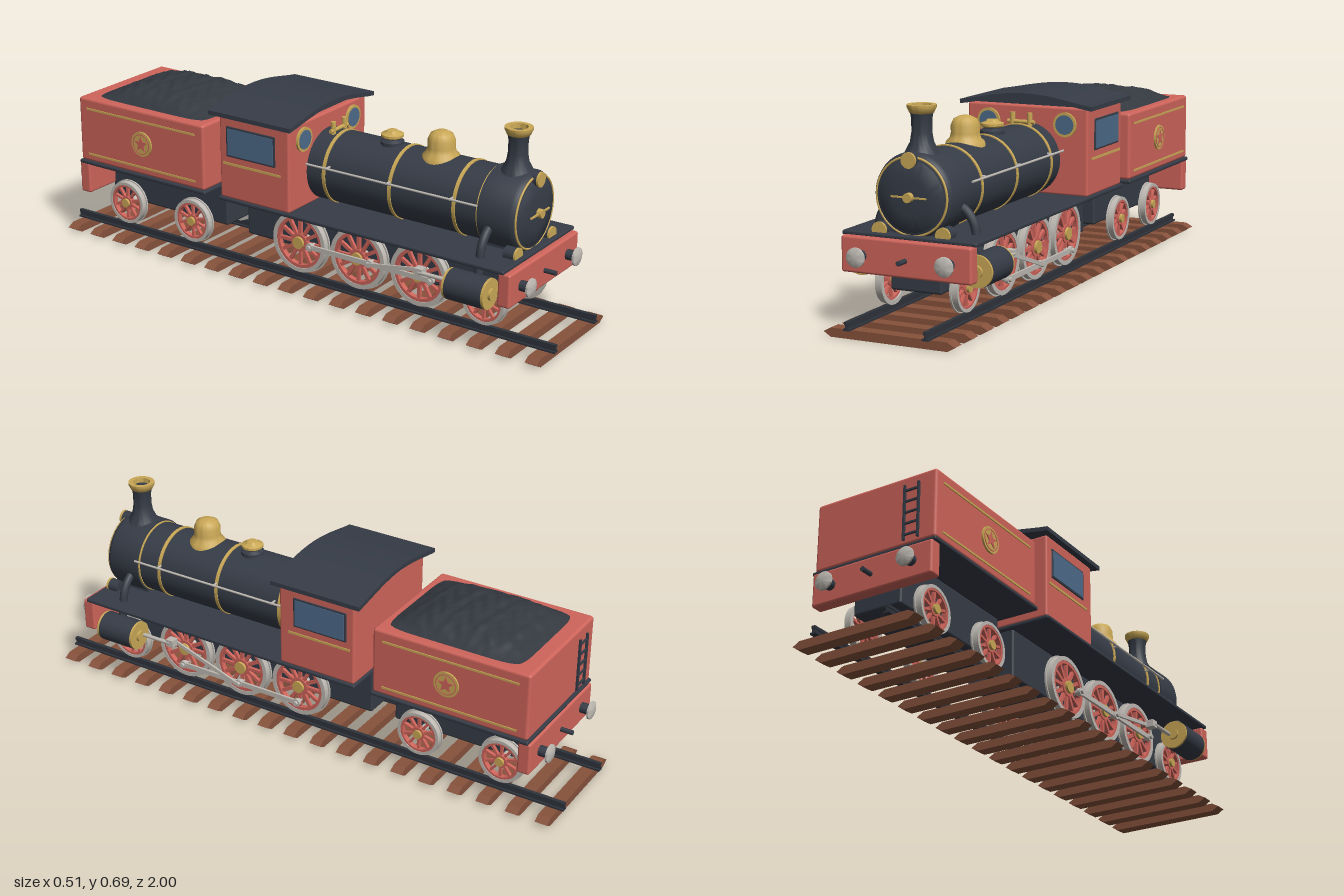
import * as THREE from 'three';
import { toCreasedNormals } from 'three/addons/utils/BufferGeometryUtils.js';
import { RoundedBoxGeometry } from 'three/addons/geometries/RoundedBoxGeometry.js';

const mat = (name, color) => Object.assign(new THREE.MeshStandardMaterial({ color }), { name });
const red = mat('red paint', 0xcf655b), black = mat('black iron', 0x363c47), gold = mat('brass', 0xcaa856);
const steel = mat('steel', 0xbfbab3), glass = mat('window glass', 0x4d6b8a), wood = mat('sleeper wood', 0x87523c);
const coalMat = mat('coal', 0x343940), railMat = mat('rail iron', 0x2f343c);

const V = (x, y, z) => new THREE.Vector3(x, y, z);
function add(parent, name, geo, material, x = 0, y = 0, z = 0) {
  const m = new THREE.Mesh(geo, material);
  m.name = name;
  m.position.set(x, y, z);
  parent.add(m);
  return m;
}
function group(parent, name) {
  const g = new THREE.Group();
  g.name = name;
  parent.add(g);
  return g;
}
const box = (w, h, d) => new THREE.BoxGeometry(w, h, d);
const rbox = (w, h, d, r = 0.008) => new RoundedBoxGeometry(w, h, d, 3, r);
const cylY = (r, l, n = 32, r2 = r) => new THREE.CylinderGeometry(r, r2, l, n);
const cylX = (r, l, n = 32) => cylY(r, l, n).rotateZ(-Math.PI / 2);
const cylZ = (r, l, n = 32, r2 = r) => cylY(r, l, n, r2).rotateX(Math.PI / 2);
const lathe = (pts, n = 40) =>
  toCreasedNormals(new THREE.LatheGeometry(pts.map(p => new THREE.Vector2(...p)), n), 0.7);
// rectangular ring around the x axis
const ringX = (r0, r1, w, n = 40) =>
  lathe([[r0, -w / 2], [r1, -w / 2], [r1, w / 2], [r0, w / 2], [r0, -w / 2]], n).rotateZ(-Math.PI / 2);
const tube = (pts, r) => new THREE.TubeGeometry(new THREE.CatmullRomCurve3(pts), 20, r, 12);
const sides = fn => [1, -1].forEach(fn);
const outline = pts => new THREE.Shape(pts.map(p => new THREE.Vector2(...p)));
const extrude = (shape, depth) =>
  new THREE.ExtrudeGeometry(shape, { depth, bevelEnabled: false }).translate(0, 0, -depth / 2);

// Spoked wheel, facing outwards along s
function wheel(parent, s, r, y, z, spokes) {
  const g = group(parent, 'wheel');
  g.position.set(s * 0.133, y, z);
  add(g, 'tyre', ringX(r * 0.86, r, 0.022), steel);
  add(g, 'flange', ringX(r * 0.86, r * 1.05, 0.006), steel, -s * 0.012);
  add(g, 'wheelRim', ringX(r * 0.76, r * 0.87, 0.018), red);
  for (let i = 0; i < spokes; i++) {
    const a = i / spokes * Math.PI * 2;
    const spoke = add(g, 'spoke', box(0.011, r * 0.66, r * 0.11), red, 0, Math.cos(a) * r * 0.47, Math.sin(a) * r * 0.47);
    spoke.rotation.x = a;
  }
  add(g, 'wheelCentre', cylX(r * 0.3, 0.018, 24), red);
  add(g, 'hub', cylX(r * 0.2, 0.032, 24), gold, s * 0.002);
}

function wheelset(parent, r, y, z, spokes) {
  sides(s => wheel(parent, s, r, y, z, spokes));
  add(parent, 'axle', cylX(0.012, 0.27, 16), steel, 0, y, z);
}

// Beam with buffers and coupling hook; d is +1 for the front, -1 for the rear
function bufferBeam(parent, z, d) {
  const g = group(parent, 'bufferBeam');
  add(g, 'beam', rbox(0.45, 0.115, 0.045), red, 0, 0.235, z);
  sides(s => {
    add(g, 'bufferStem', cylZ(0.018, 0.04, 20), black, s * 0.152, 0.235, z + d * 0.035);
    add(g, 'bufferDisc', lathe([[0, -0.006], [0.031, -0.006], [0.031, 0.001], [0.02, 0.006], [0, 0.008]])
      .rotateX(d * Math.PI / 2), steel, s * 0.152, 0.235, z + d * 0.06);
  });
  add(g, 'couplingHook', cylZ(0.008, 0.05, 12), black, 0, 0.232, z + d * 0.04);
}

function buildTrack(parent) {
  const g = group(parent, 'track');
  const sleeper = extrude(outline([[-0.225, 0.015], [-0.2, 0], [0.2, 0], [0.225, 0.015], [0.2, 0.029], [-0.2, 0.029]]), 0.044);
  for (let i = 0; i < 19; i++) add(g, 'sleeper', sleeper, wood, 0, 0, 0.96 - i * 1.92 / 18);
  sides(s => {
    add(g, 'railFoot', box(0.022, 0.006, 2), railMat, s * 0.135, 0.032, 0);
    add(g, 'railWeb', box(0.006, 0.018, 2), railMat, s * 0.135, 0.04, 0);
    add(g, 'railHead', box(0.013, 0.01, 2), railMat, s * 0.135, 0.052, 0);
  });
}

function buildBoiler(parent) {
  const g = group(parent, 'boiler'), Y = 0.422;
  add(g, 'barrel', cylZ(0.124, 0.7, 64), black, 0, Y, 0.36);
  add(g, 'smokebox', lathe([[0, -0.07], [0.132, -0.07], [0.134, 0.045], [0.128, 0.06], [0.118, 0.066], [0, 0.066]], 64)
    .rotateX(Math.PI / 2), black, 0, Y, 0.765);
  add(g, 'doorRing', new THREE.TorusGeometry(0.121, 0.004, 8, 64), gold, 0, Y, 0.829);
  add(g, 'smokeboxDoor', lathe([[0.112, 0], [0.105, 0.006], [0.06, 0.012], [0, 0.014]], 48).rotateX(Math.PI / 2), black, 0, Y, 0.83);
  add(g, 'doorKnob', cylZ(0.015, 0.022, 24), gold, 0, Y, 0.85);
  add(g, 'doorHandle', box(0.12, 0.005, 0.006), gold, 0, Y, 0.85);
  [0.695, 0.605, 0.36, 0.1].forEach(z => add(g, 'boilerBand', cylZ(0.1275, 0.012, 64), gold, 0, Y, z));
  // chimney, dome and fittings
  add(g, 'chimney', lathe([[0.062, 0.53], [0.05, 0.555], [0.037, 0.58], [0.032, 0.61], [0.032, 0.65], [0.036, 0.672]]), black, 0, 0, 0.762);
  add(g, 'chimneyCap', lathe([[0.034, 0.668], [0.038, 0.67], [0.046, 0.687], [0.046, 0.695], [0.03, 0.695], [0.028, 0.67]]), gold, 0, 0, 0.762);
  add(g, 'chimneyBore', cylY(0.029, 0.004), black, 0, 0.676, 0.762);
  add(g, 'dome', lathe([[0.066, 0.525], [0.062, 0.542], [0.05, 0.554], [0.046, 0.57], [0.046, 0.595], [0.038, 0.614], [0.02, 0.624], [0, 0.626]]), gold, 0, 0, 0.48);
  add(g, 'valveBase', lathe([[0.04, 0.53], [0.04, 0.552], [0.028, 0.56], [0.028, 0.566]]), black, 0, 0, 0.29);
  add(g, 'valveCap', lathe([[0.028, 0.562], [0.038, 0.568], [0.038, 0.576], [0.022, 0.582], [0.018, 0.588], [0, 0.59]]), gold, 0, 0, 0.29);
  add(g, 'whistleManifold', cylX(0.007, 0.1, 12), gold, 0, 0.552, 0.075);
  sides(s => {
    add(g, 'whistle', cylY(0.009, 0.05, 16), gold, s * 0.032, 0.558, 0.075);
    add(g, 'handrail', cylZ(0.004, 0.66, 10), steel, s * 0.14, 0.457, 0.37);
    [0.12, 0.36, 0.6].forEach(z => add(g, 'railBracket', cylX(0.004, 0.03, 8), steel, s * 0.128, 0.457, z));
    add(g, 'steamPipe', tube([V(s * 0.11, 0.39, 0.735), V(s * 0.14, 0.37, 0.735), V(s * 0.163, 0.335, 0.735),
      V(s * 0.172, 0.29, 0.735), V(s * 0.18, 0.24, 0.735)], 0.0145), black);
  });
  // lamps
  [[0, 0.535, 0.825], [0.11, 0.312, 0.815], [-0.11, 0.312, 0.815]].forEach(p => {
    add(g, 'lampBody', cylZ(0.024, 0.04, 24), black, ...p);
    add(g, 'lampLens', cylZ(0.025, 0.008, 24), gold, p[0], p[1], p[2] + 0.022);
  });
}

function buildCab(parent) {
  const g = group(parent, 'cab');
  add(g, 'cabBody', rbox(0.45, 0.3, 0.29), red, 0, 0.452, -0.115);
  const arc = [];
  for (let i = 0; i <= 24; i++) {
    const x = -0.247 + i * 0.494 / 24;
    arc.push([x, 0.612 + 0.033 * Math.cos(x / 0.247 * Math.PI / 2) ** 1.2]);
  }
  const under = arc.map(([x, y]) => [x, y - 0.015]).reverse();
  add(g, 'roof', toCreasedNormals(extrude(outline([...arc].reverse().concat([...under].reverse())), 0.34), 0.6), black, 0, 0, -0.12);
  const gable = under.filter(p => Math.abs(p[0]) < 0.22);
  add(g, 'roofGable', extrude(outline([[-0.215, 0.59], [0.215, 0.59], ...gable]), 0.25), black, 0, 0, -0.115);
  sides(s => {
    add(g, 'sideWindowFrame', rbox(0.006, 0.108, 0.205, 0.0029), black, s * 0.225, 0.508, -0.128);
    add(g, 'sideWindow', box(0.008, 0.094, 0.19), glass, s * 0.226, 0.508, -0.128);
    add(g, 'cabStripe', box(0.006, 0.008, 0.24), gold, s * 0.225, 0.428, -0.125);
    add(g, 'frontWindowFrame', cylZ(0.042, 0.009, 40), gold, s * 0.143, 0.544, 0.033);
    add(g, 'frontWindow', cylZ(0.033, 0.009, 40), glass, s * 0.143, 0.544, 0.035);
  });
}

function buildEngine(parent) {
  const g = group(parent, 'engine');
  add(g, 'frame', rbox(0.178, 0.175, 1.06), black, 0, 0.208, 0.28);
  add(g, 'runningBoard', rbox(0.465, 0.014, 1.12, 0.005), black, 0, 0.297, 0.295);
  add(g, 'boilerSaddle', box(0.15, 0.06, 0.12), black, 0, 0.31, 0.76);
  bufferBeam(g, 0.853, 1);
  buildBoiler(g);
  buildCab(g);
  [0.49, 0.25, 0.01].forEach(z => wheelset(g, 0.108, 0.167, z, 12));
  wheelset(g, 0.077, 0.135, 0.735, 10);
  sides(s => {
    // cylinders and rods, with the cranks a quarter turn apart
    const m = group(g, 'runningGear');
    const py = s > 0 ? 0.11 : 0.167, pz = s > 0 ? 0 : 0.055;
    add(m, 'cylinder', cylZ(0.052, 0.135, 40), black, s * 0.203, 0.203, 0.72);
    sides(e => {
      add(m, 'cylinderCover', cylZ(0.051, 0.01, 40), gold, s * 0.203, 0.203, 0.72 + e * 0.071);
      add(m, 'cylinderBoss', cylZ(0.02, 0.02, 24), gold, s * 0.203, 0.203, 0.72 + e * 0.075);
    });
    add(m, 'pistonRod', cylZ(0.007, 0.14, 12), steel, s * 0.19, 0.203, 0.59);
    add(m, 'crosshead', box(0.03, 0.026, 0.03), steel, s * 0.18, 0.203, 0.52);
    add(m, 'couplingRod', box(0.008, 0.017, 0.5), steel, s * 0.155, py, 0.25 + pz);
    [0.49, 0.25, 0.01].forEach(z => {
      add(m, 'crankPin', cylX(0.008, 0.04, 16), steel, s * 0.15, py, z + pz);
      add(m, 'rodEnd', cylX(0.014, 0.012, 20), steel, s * 0.155, py, z + pz);
    });
    const dy = 0.203 - py, dz = 0.52 - 0.25 - pz;
    const rod = add(m, 'connectingRod', box(0.007, 0.013, Math.hypot(dy, dz)), steel, s * 0.167, (0.203 + py) / 2, 0.25 + pz + dz / 2);
    rod.rotation.x = -Math.atan2(dy, dz);
  });
}

// Lumpy heap on a rounded rectangle
function coalHeap() {
  const geo = new THREE.PlaneGeometry(2, 2, 36, 48).rotateX(-Math.PI / 2), p = geo.attributes.position;
  for (let i = 0; i < p.count; i++) {
    const u = p.getX(i), v = p.getZ(i), edge = (1 - u ** 4) * (1 - v ** 4);
    const lump = Math.sin(u * 9 + Math.sin(v * 13) * 1.5) * Math.sin(v * 17 + u * 5) + 0.6 * Math.sin(u * 21 - v * 11) * Math.cos(v * 27);
    p.setXYZ(i, u * 0.197 * Math.sqrt(1 - 0.16 * v ** 8), edge * (0.028 + 0.024 * (1 - v * v) + 0.005 * lump),
      v * 0.243 * Math.sqrt(1 - 0.1 * u ** 8));
  }
  geo.computeVertexNormals();
  return geo;
}

function buildTender(parent) {
  const g = group(parent, 'tender');
  add(g, 'tenderBody', rbox(0.455, 0.237, 0.565, 0.01), red, 0, 0.422, -0.613);
  add(g, 'coalHeap', coalHeap(), coalMat, 0, 0.541, -0.6);
  add(g, 'footplate', rbox(0.465, 0.014, 0.575, 0.005), black, 0, 0.297, -0.613);
  add(g, 'tenderFrame', rbox(0.178, 0.165, 0.53), black, 0, 0.21, -0.605);
  add(g, 'drawbar', box(0.04, 0.014, 0.12), black, 0, 0.24, -0.3);
  bufferBeam(g, -0.885, -1);
  [-0.46, -0.765].forEach(z => wheelset(g, 0.078, 0.136, z, 10));
  const star = outline(Array.from({ length: 10 }, (_, i) => {
    const a = Math.PI / 2 + i * Math.PI / 5, r = i % 2 ? 0.013 : 0.03;
    return [Math.cos(a) * r, Math.sin(a) * r];
  }));
  sides(s => {
    [0.502, 0.332].forEach(y => add(g, 'tenderStripe', box(0.006, 0.007, 0.49), gold, s * 0.2275, y, -0.613));
    add(g, 'badgeDisc', cylX(0.045, 0.009, 40), gold, s * 0.229, 0.42, -0.605);
    add(g, 'badgeRing', ringX(0.034, 0.037, 0.004), red, s * 0.233, 0.42, -0.605);
    add(g, 'badgeStar', extrude(star, 0.006).rotateY(Math.PI / 2), red, s * 0.233, 0.42, -0.605);
  });
  // rear ladder
  const ladder = group(g, 'ladder');
  sides(s => add(ladder, 'ladderPost', box(0.007, 0.19, 0.008), black, -0.14 + s * 0.026, 0.412, -0.902));
  for (let i = 0; i < 5; i++) add(ladder, 'ladderRung', box(0.052, 0.006, 0.006), black, -0.14, 0.335 + i * 0.038, -0.902);
}

export function createModel() {
  const model = new THREE.Group();
  model.name = 'steamLocomotive';
  buildTrack(model);
  buildEngine(model);
  buildTender(model);
  return model;
}
